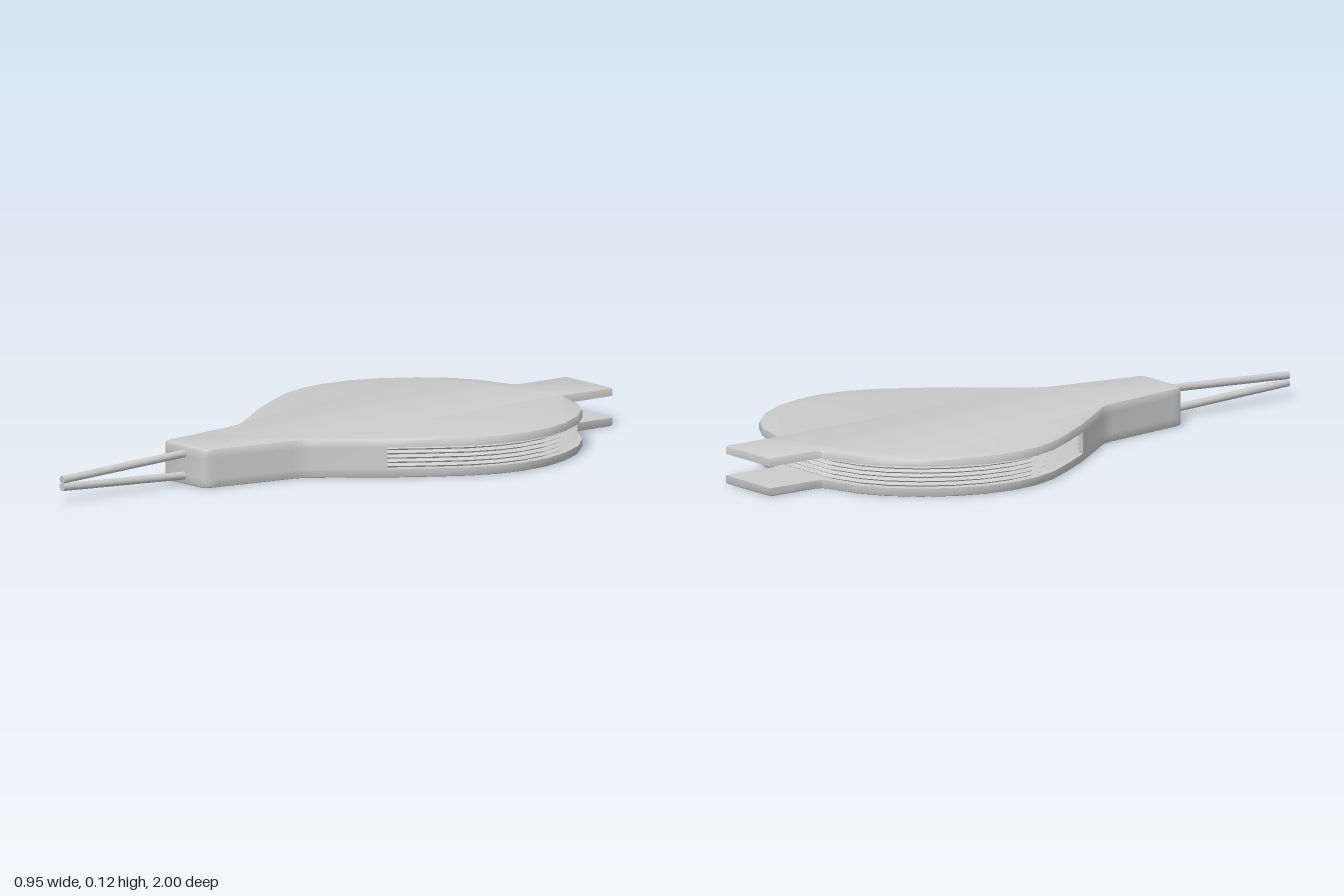
import * as THREE from 'three';
import { toCreasedNormals } from 'three/addons/utils/BufferGeometryUtils.js';

const HEIGHT = 0.117, BOARD = 0.026;

// Half outlines as [x, z], running from back to front on the +x side
const HANDLE = [[0.108, -1], [0.108, -0.83], [0.113, -0.812]];
const BOWL = [
  [0.125, -0.803], [0.23, -0.772], [0.307, -0.725], [0.38, -0.65], [0.434, -0.56], [0.466, -0.47],
  [0.477, -0.37], [0.466, -0.285], [0.434, -0.196], [0.37, -0.09], [0.307, 0.005],
];
const NOSE = [
  [0.165, 0.19], [0.152, 0.213], [0.144, 0.24], [0.103, 0.495], [0.1, 0.517], [0.093, 0.531], [0.08, 0.538],
];

const mirrored = (half) => [...half, ...half.map(([x, z]) => [-x, z]).reverse()];

// Moves a closed outline inwards by d, with mitred corners
function inset(pts, d) {
  const n = pts.length;
  const normal = (a, b) => new THREE.Vector2(b[1] - a[1], a[0] - b[0]).normalize();
  return pts.map((p, i) => {
    const n1 = normal(pts[(i + n - 1) % n], p), n2 = normal(p, pts[(i + 1) % n]);
    const m = n1.clone().add(n2).divideScalar(1 + n1.dot(n2));
    return [p[0] - m.x * d, p[1] - m.y * d];
  });
}

// Closed solid from an outline; levels are [y, inset] from bottom to top
function stack(half, levels, crease = 0.6) {
  const outline = mirrored(half), n = outline.length;
  const pos = [], index = [];
  for (const [y, d] of levels) for (const [x, z] of inset(outline, d)) pos.push(x, y, z);
  for (let k = 0; k < levels.length - 1; k++) {
    for (let i = 0; i < n; i++) {
      const a = k * n + i, b = k * n + (i + 1) % n;
      index.push(b, a, a + n, b, a + n, b + n);
    }
  }
  const contour = outline.map(([x, z]) => new THREE.Vector2(x, z));
  const top = (levels.length - 1) * n;
  for (const [a, i, j] of THREE.ShapeUtils.triangulateShape(contour, [])) {
    const turn = contour[i].clone().sub(contour[a]).cross(contour[j].clone().sub(contour[a]));
    const [b, c] = turn < 0 ? [i, j] : [j, i];
    index.push(top + a, top + b, top + c, a, c, b);
  }
  const geo = new THREE.BufferGeometry();
  geo.setAttribute('position', new THREE.Float32BufferAttribute(pos, 3));
  geo.setIndex(index);
  return toCreasedNormals(geo, crease);
}

export function createModel() {
  const group = new THREE.Group();
  const material = new THREE.MeshStandardMaterial({ color: 0xcccccc });
  const add = (name, geo) => {
    const mesh = new THREE.Mesh(geo, material);
    mesh.name = name;
    group.add(mesh);
    return mesh;
  };

  // Paddle boards with a small bevel on the outer face
  const board = [...HANDLE, ...BOWL, ...NOSE];
  add('lowerBoard', stack(board, [[0, 0.006], [0.002, 0.002], [0.006, 0], [BOARD, 0]]));
  add('upperBoard', stack(board, [
    [HEIGHT - BOARD, 0], [HEIGHT - 0.006, 0], [HEIGHT - 0.002, 0.002], [HEIGHT, 0.006],
  ]));

  // Solid block joining the boards at the nose
  add('noseBlock', stack([[0.303, 0.01], ...NOSE], [[BOARD, 0], [HEIGHT - BOARD, 0]]));

  // Pleated bellows between the boards
  const folds = 5, levels = [];
  for (let i = 0; i <= folds * 2; i++) {
    levels.push([BOARD + (HEIGHT - 2 * BOARD) * i / (folds * 2), i % 2 ? 0.012 : 0.027]);
  }
  add('bellows', stack([...BOWL, [0.272, 0.05]], levels));

  // Two thin nozzle rods, converging towards the tip
  const rod = (name, y0, y1) => {
    const a = new THREE.Vector3(0, y0, 0.5), b = new THREE.Vector3(0, y1, 0.999);
    const mesh = add(name, new THREE.CylinderGeometry(0.012, 0.012, a.distanceTo(b), 12));
    mesh.position.copy(a).add(b).multiplyScalar(0.5);
    mesh.quaternion.setFromUnitVectors(new THREE.Vector3(0, 1, 0), b.sub(a).normalize());
  };
  rod('upperNozzleRod', 0.094, 0.07);
  rod('lowerNozzleRod', 0.024, 0.048);

  return group;
}
